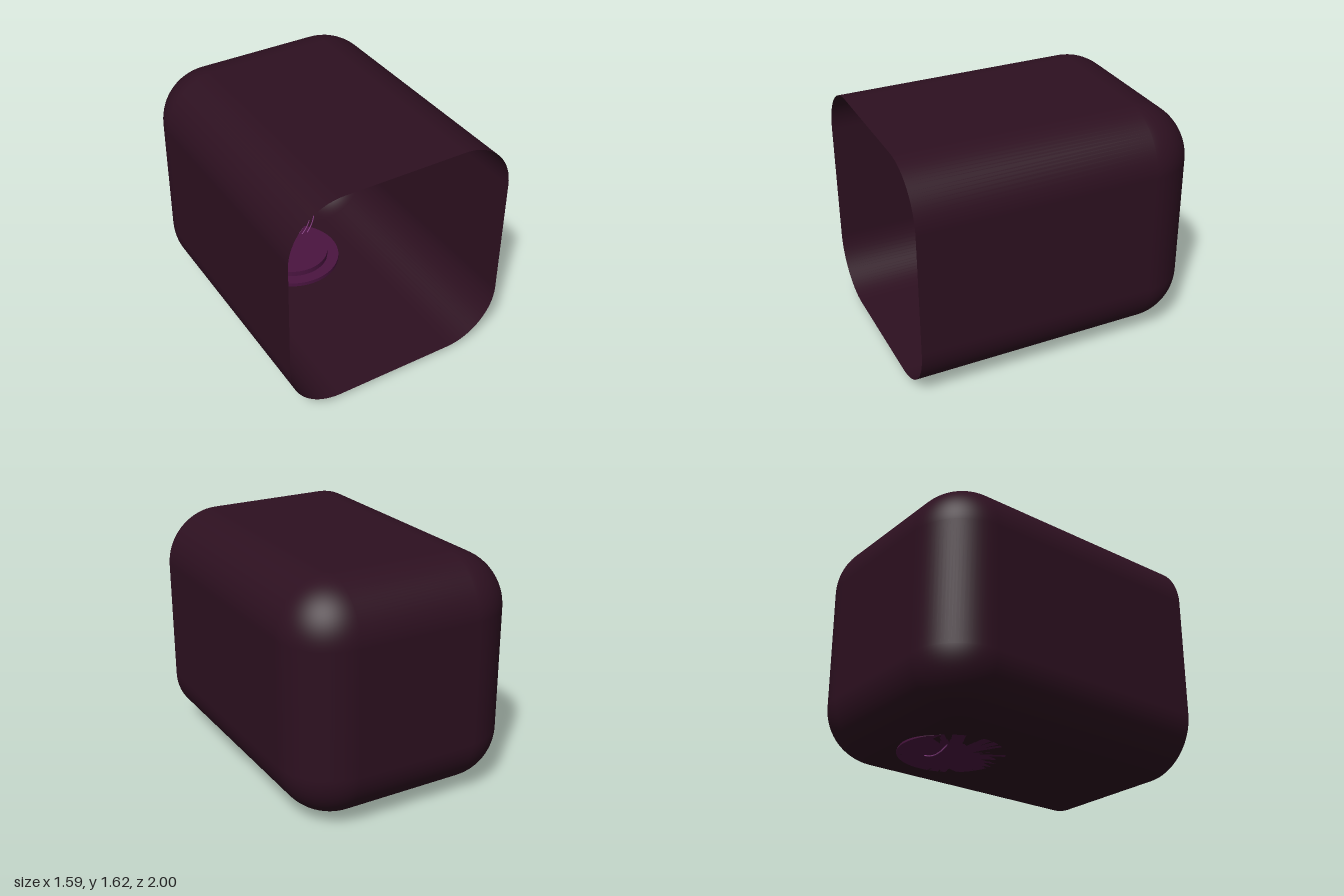
import * as THREE from 'three';
import { RoundedBoxGeometry } from 'three/addons/geometries/RoundedBoxGeometry.js';

const FLOOR = 0.034;

// Rounded box with its rounded front cut away at z = 1
function openShell(width, height, radius) {
  const box = new RoundedBoxGeometry(width, height, 2 + radius, 10, radius);
  const geo = box.index ? box.toNonIndexed() : box;
  geo.translate(0, FLOOR + height / 2, radius / 2);
  const p = geo.attributes.position, n = geo.attributes.normal;
  const positions = [], normals = [];
  for (let i = 0; i < p.count; i += 3) {
    if ((p.getZ(i) + p.getZ(i + 1) + p.getZ(i + 2)) / 3 > 1.0001) continue;
    for (let k = i; k < i + 3; k++) {
      positions.push(p.getX(k), p.getY(k), p.getZ(k));
      normals.push(n.getX(k), n.getY(k), n.getZ(k));
    }
  }
  const out = new THREE.BufferGeometry();
  out.setAttribute('position', new THREE.Float32BufferAttribute(positions, 3));
  out.setAttribute('normal', new THREE.Float32BufferAttribute(normals, 3));
  return out;
}

export function createModel() {
  const model = new THREE.Group();
  const add = (name, geometry, material, x, y, z) => {
    const mesh = new THREE.Mesh(geometry, material);
    mesh.name = name;
    mesh.position.set(x, y, z);
    model.add(mesh);
  };
  const wall = new THREE.MeshStandardMaterial({ color: 0x2d1020, side: THREE.DoubleSide });
  const plinth = new THREE.MeshStandardMaterial({ color: 0x4a1440 });
  const glow = new THREE.MeshStandardMaterial({ color: 0x8a3f86 });

  // Room: a thin shell, open at the front
  add('roomShell', openShell(1.588, 1.586, 0.37), wall, 0, 0, 0);

  // Two-step round pedestal on the floor
  add('pedestalBase', new THREE.CylinderGeometry(0.348, 0.348, 0.028, 64), plinth, 0, FLOOR + 0.014, -0.38);
  add('pedestalTop', new THREE.CylinderGeometry(0.265, 0.265, 0.04, 64), plinth, 0, FLOOR + 0.048, -0.38);

  // Three concentric upright rings that dip through the floor
  [[0.262, 0.004], [0.228, 0.0035], [0.195, 0.003]].forEach(([radius, tube], i) => {
    add(`ring${i + 1}`, new THREE.TorusGeometry(radius, tube, 8, 96), glow, 0, 0.266, -0.5);
  });

  return model;
}
